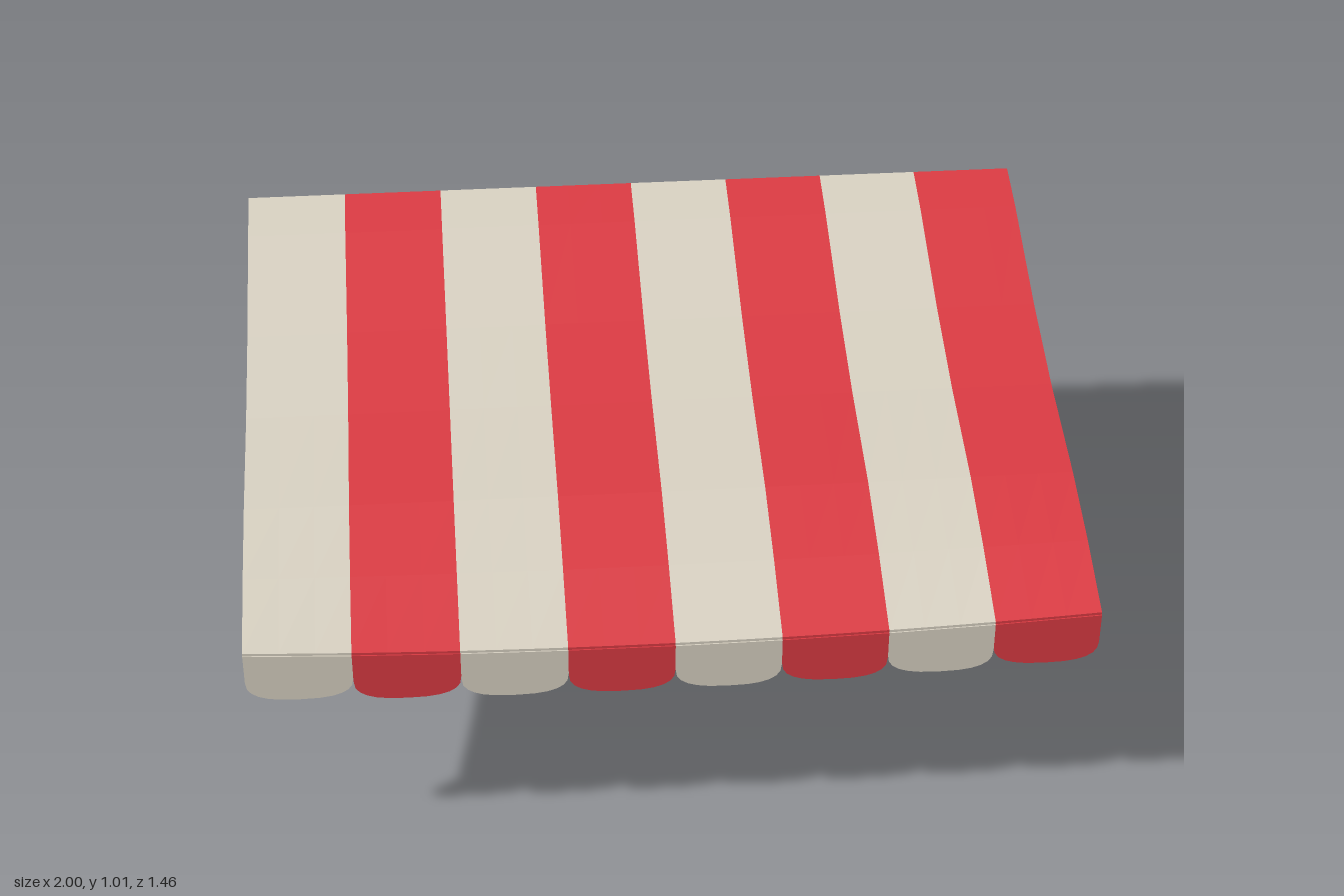
import * as THREE from 'three';

const mat = (name, color, extra = {}) => {
  const m = new THREE.MeshStandardMaterial({ color, flatShading: true, ...extra });
  m.name = name;
  return m;
};

export function createModel() {
  const root = new THREE.Group();
  root.name = 'marketAwning';
  const cream = mat('cream cloth', 0xd6cfc0);
  const red = mat('red cloth', 0xd93a42);
  const steel = mat('steel', 0x6a707c);
  const gold = mat('gold', 0xc99a2e);
  const wood = mat('brown wood', 0x6b3f2a);
  const blue = mat('blue paint', 0x4869cf);
  const dark = mat('dark rivet', 0x343a4c);

  const add = (parent, name, geo, material, x = 0, y = 0, z = 0) => {
    const m = new THREE.Mesh(geo, material);
    m.name = name;
    m.position.set(x, y, z);
    parent.add(m);
    return m;
  };

  // Cloth profile from back to front: z, y, amount of sag
  const profile = [
    [-0.73, 1.01, 0], [-0.59, 0.978, 0], [-0.27, 0.88, 0], [0, 0.818, 0],
    [0.31, 0.771, 0.1], [0.52, 0.724, 0.55], [0.722, 0.665, 1],
  ];
  const sag = x => 0.03 * (1 - x * x);

  // Striped canopy and its scalloped valance
  const canopy = new THREE.Group();
  canopy.name = 'canopy';
  root.add(canopy);
  const rows = profile.length - 1;
  for (let i = 0; i < 8; i++) {
    const cx = -0.875 + i * 0.25;
    const cloth = i % 2 ? red : cream;
    const geo = new THREE.BoxGeometry(0.25, 0.01, 1, 3, 1, rows);
    const p = geo.attributes.position;
    for (let k = 0; k < p.count; k++) {
      const [z, y, s] = profile[Math.round((p.getZ(k) + 0.5) * rows)];
      p.setXYZ(k, p.getX(k) + cx, y - s * sag(p.getX(k) + cx) + p.getY(k), z);
    }
    geo.computeVertexNormals();
    add(canopy, 'canopyStripe', geo, cloth);

    // Rounded flap hanging from the front edge
    const edge = x => 0.663 - sag(x);
    const shape = new THREE.Shape();
    shape.moveTo(cx + 0.125, edge(cx + 0.125));
    shape.lineTo(cx - 0.125, edge(cx - 0.125));
    for (let k = 0; k <= 12; k++) {
      const a = Math.PI * k / 12;
      const c = Math.cos(a);
      const x = cx - 0.125 * Math.sign(c) * Math.pow(Math.abs(c), 0.75);
      shape.lineTo(x, edge(cx) - 0.07 - 0.058 * Math.pow(Math.sin(a), 0.75));
    }
    add(canopy, 'valanceFlap',
      new THREE.ExtrudeGeometry(shape, { depth: 0.006, bevelEnabled: false }), cloth, 0, 0, 0.719);
  }

  // Three hanging swords
  const lathe = (pts, n = 8) =>
    new THREE.LatheGeometry(pts.map(([r, y]) => new THREE.Vector2(r, y)), n);
  const bladeGeo = () => {
    // Diamond cross-section, tapering to a point
    const geo = new THREE.CylinderGeometry(1, 1, 1, 4, 2);
    const p = geo.attributes.position;
    const rings = [[0.17, 0.028], [0.70, 0.021], [0.775, 0.0005]];
    for (let k = 0; k < p.count; k++) {
      const [y, w] = rings[Math.round((p.getY(k) + 0.5) * 2)];
      p.setXYZ(k, p.getX(k) * w, y, p.getZ(k) * Math.min(0.011, w));
    }
    geo.computeVertexNormals();
    return geo;
  };
  const gripPts = [];
  for (let k = 0; k <= 10; k++) gripPts.push([k % 2 ? 0.014 : 0.0105, 0.03 + k * 0.0125]);
  const guardPts = [
    [0, -0.09], [0.011, -0.086], [0.015, -0.077], [0.009, -0.067], [0.012, -0.05],
    [0.012, 0.05], [0.009, 0.067], [0.015, 0.077], [0.011, 0.086], [0, 0.09],
  ];
  for (const x of [0.075, 0.28, 0.485]) {
    const sword = new THREE.Group();
    sword.name = 'sword';
    sword.position.set(x, 0, -0.553);
    root.add(sword);
    add(sword, 'blade', bladeGeo(), steel);
    add(sword, 'crossguard', lathe(guardPts), gold, 0, 0.166, 0).rotation.z = -Math.PI / 2;
    add(sword, 'grip', lathe(gripPts), wood);
    add(sword, 'pommel', new THREE.SphereGeometry(0.018, 8, 6), gold, 0, 0.018, 0);
  }

  // Round shield
  const shield = new THREE.Group();
  shield.name = 'shield';
  shield.position.set(-0.465, 0.447, -0.547);
  root.add(shield);
  const disc = (r, h, n) => new THREE.CylinderGeometry(r, r, h, n).rotateX(Math.PI / 2);
  add(shield, 'shieldRim', disc(0.167, 0.05, 16), steel);
  add(shield, 'shieldFace', disc(0.156, 0.006, 16), blue, 0, 0, 0.024);
  add(shield, 'shieldBack', disc(0.156, 0.006, 16), blue, 0, 0, -0.024);
  add(shield, 'bossRing', new THREE.TorusGeometry(0.058, 0.012, 6, 16), gold, 0, 0, 0.026);
  const dome = (r, h) =>
    new THREE.SphereGeometry(r, 12, 4, 0, Math.PI * 2, 0, Math.PI / 2).rotateX(Math.PI / 2).scale(1, 1, h / r);
  add(shield, 'frontBoss', dome(0.053, 0.03), gold, 0, 0, 0.025);
  add(shield, 'backBoss', dome(0.046, 0.022), gold, 0, 0, -0.025).rotation.y = Math.PI;
  for (let k = 0; k < 8; k++) {
    const a = (k + 0.5) * Math.PI / 4;
    add(shield, 'rivet', disc(0.008, 0.008, 6), dark, Math.cos(a) * 0.131, Math.sin(a) * 0.131, 0.027);
  }

  // Double-bladed axe slung through the shield
  const axe = new THREE.Group();
  axe.name = 'axe';
  axe.position.set(-0.2, 0.1, -0.538);
  axe.rotation.z = 0.347;
  root.add(axe);
  add(axe, 'axeHandle', new THREE.CylinderGeometry(0.015, 0.015, 0.64, 6), wood, 0, 0.32, 0);
  const head = new THREE.Shape();
  head.moveTo(0, 0.026);
  head.quadraticCurveTo(0.075, 0.03, 0.118, 0.09);
  head.quadraticCurveTo(0.145, 0, 0.118, -0.09);
  head.quadraticCurveTo(0.075, -0.03, 0, -0.026);
  head.quadraticCurveTo(-0.075, -0.03, -0.118, -0.09);
  head.quadraticCurveTo(-0.145, 0, -0.118, 0.09);
  head.quadraticCurveTo(-0.075, 0.03, 0, 0.026);
  const headGeo = new THREE.ExtrudeGeometry(head, { depth: 0.02, bevelEnabled: false, curveSegments: 5 });
  add(axe, 'axeHead', headGeo, steel, 0, 0.612, -0.02);

  return root;
}
